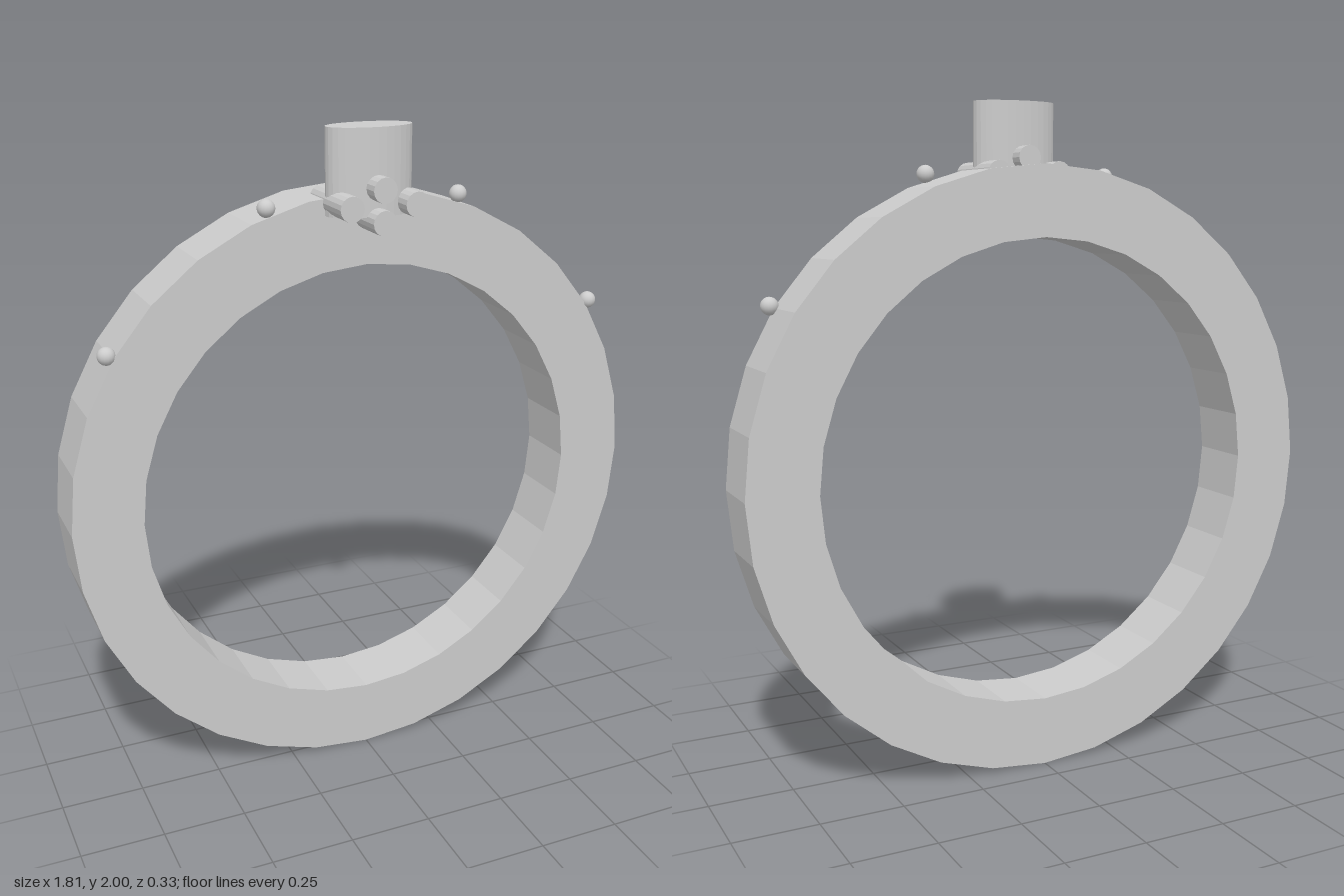
import * as THREE from 'three';

export function createModel() {
  const group = new THREE.Group();
  const material = new THREE.MeshStandardMaterial({ color: 0xcccccc, flatShading: true });
  const smooth = new THREE.MeshStandardMaterial({ color: 0xcccccc });

  const add = (name, geometry, mat, x, y, z) => {
    const mesh = new THREE.Mesh(geometry, mat);
    mesh.name = name;
    mesh.position.set(x, y, z);
    group.add(mesh);
    return mesh;
  };

  // Flat-sided band with a round finger hole
  const outer = 0.907, inner = 0.698, sides = 32;
  const circle = (r) => Array.from({ length: sides }, (_, i) => {
    const a = (i / sides) * Math.PI * 2;
    return new THREE.Vector2(r * Math.cos(a), r * Math.sin(a));
  });
  const profile = new THREE.Shape(circle(outer));
  profile.holes.push(new THREE.Path(circle(inner)));
  const bandGeometry = new THREE.ExtrudeGeometry(profile, { depth: 0.202, bevelEnabled: false });
  add('band', bandGeometry, material, 0, outer, -0.165);

  // Oval stone standing on the top of the band
  const stone = new THREE.CylinderGeometry(0.13, 0.13, 0.246, 32);
  stone.scale(1, 1, 0.52);
  add('stone', stone, material, 0, 1.877, 0.049);

  // Four prongs running front to back around the stone's foot
  const prong = new THREE.CylinderGeometry(0.036, 0.036, 0.226, 16);
  prong.rotateX(Math.PI / 2);
  for (const [x, y] of [[0.099, 1.79], [0, 1.835], [-0.099, 1.79], [0, 1.744]]) {
    add('prong', prong, material, x, y, 0.052);
  }

  // Small beads along the front edge of each shoulder
  const bead = new THREE.SphereGeometry(0.026, 16, 12);
  for (const side of [-1, 1]) {
    add('upperBead', bead, smooth, side * 0.298, 1.785, 0.022);
    add('lowerBead', bead, smooth, side * 0.77, 1.418, 0.022);
  }

  return group;
}
